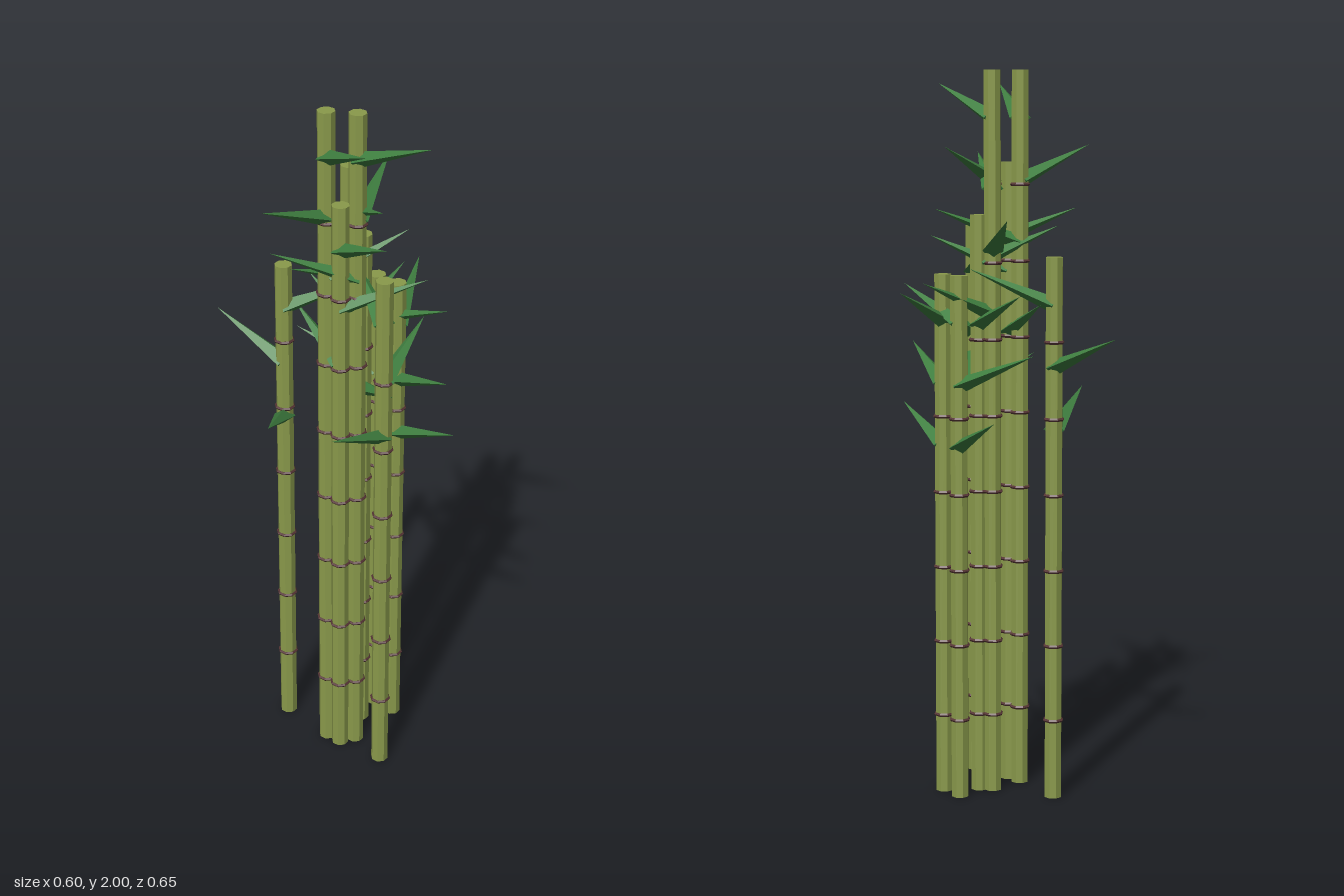
import * as THREE from 'three';

const stalkMat = new THREE.MeshStandardMaterial({ color: 0x8a9a4b, flatShading: true });
stalkMat.name = 'stalk green';
const ringMat = new THREE.MeshStandardMaterial({ color: 0x573636, flatShading: true });
ringMat.name = 'node brown';
const leafMat = new THREE.MeshStandardMaterial({ color: 0x3f7f40, flatShading: true });
leafMat.name = 'leaf green';

const RADIUS = 0.0245, NODE_STEP = 0.21;

// Each stalk: x, z, height, and leaf tips [x, z] from the top leaf down
const STALKS = [
  [-0.133, -0.11, 1.5, [[0.10, -0.07], [-0.30, -0.276], [-0.207, 0.118]]],
  [-0.035, 0.032, 2.0, [[0.033, 0.262], [-0.222, 0.182], [0.197, -0.023]]],
  [0.043, 0.058, 2.0, [[0.204, 0.235], [0.16, -0.145], [-0.19, 0.07]]],
  [0.037, -0.048, 1.81, [[0.09, 0.185], [-0.013, -0.28], [0.215, -0.205]]],
  [0.125, -0.115, 1.45, [[0.288, 0.064], [-0.084, -0.23], [0.019, -0.327]]],
  [0.172, -0.058, 1.45, [[0.27, -0.276], [0.273, 0.158], [0.30, 0.143]]],
  [0.1, 0.16, 1.57, [[0.05, -0.07], [0.238, -0.013], [-0.065, 0.325]]],
  [-0.003, 0.068, 1.75, [[0.083, 0.278], [0.222, 0.123], [-0.1, -0.14]]],
  [0.075, -0.043, 1.61, [[-0.14, 0.066], [-0.047, -0.245], [0.12, 0.19]]],
];

// Four-sided spike with its base at the origin, pointing along +z, ridge up
function leafGeometry() {
  const g = new THREE.ConeGeometry(0.03, 1, 4, 1);
  g.translate(0, 0.5, 0);
  g.rotateX(Math.PI / 2);
  g.scale(1, 0.75, 1);
  return g;
}

export function createModel() {
  const model = new THREE.Group();
  model.name = 'bambooClump';
  const ringGeo = new THREE.TorusGeometry(RADIUS, 0.005, 5, 8);
  ringGeo.rotateX(Math.PI / 2);
  ringGeo.rotateY(Math.PI / 8);
  const leafGeo = leafGeometry();

  for (const [x, z, height, tips] of STALKS) {
    const plant = new THREE.Group();
    plant.name = 'bambooPlant';
    plant.position.set(x, 0, z);

    // Straight cane
    const cane = new THREE.CylinderGeometry(RADIUS, RADIUS, height, 8);
    cane.rotateY(Math.PI / 8);
    cane.translate(0, height / 2, 0);
    const stalk = new THREE.Mesh(cane, stalkMat);
    stalk.name = 'stalk';
    plant.add(stalk);

    // Node rings, stopping short of the top
    const rings = Math.floor(height / NODE_STEP) - 1;
    for (let i = 1; i <= rings; i++) {
      const ring = new THREE.Mesh(ringGeo, ringMat);
      ring.name = 'nodeRing';
      ring.position.y = i * NODE_STEP + 0.01;
      plant.add(ring);
    }

    // Three leaves sloping up and out
    tips.forEach(([tx, tz], i) => {
      const leaf = new THREE.Mesh(leafGeo, leafMat);
      leaf.name = 'leaf';
      const dir = new THREE.Vector3(tx - x, 0.095, tz - z);
      leaf.position.y = height - 0.13 - 0.17 * i;
      leaf.scale.z = dir.length();
      leaf.rotation.order = 'YXZ';
      leaf.rotation.y = Math.atan2(dir.x, dir.z);
      leaf.rotation.x = -Math.atan2(dir.y, Math.hypot(dir.x, dir.z));
      plant.add(leaf);
    });
    model.add(plant);
  }
  return model;
}
